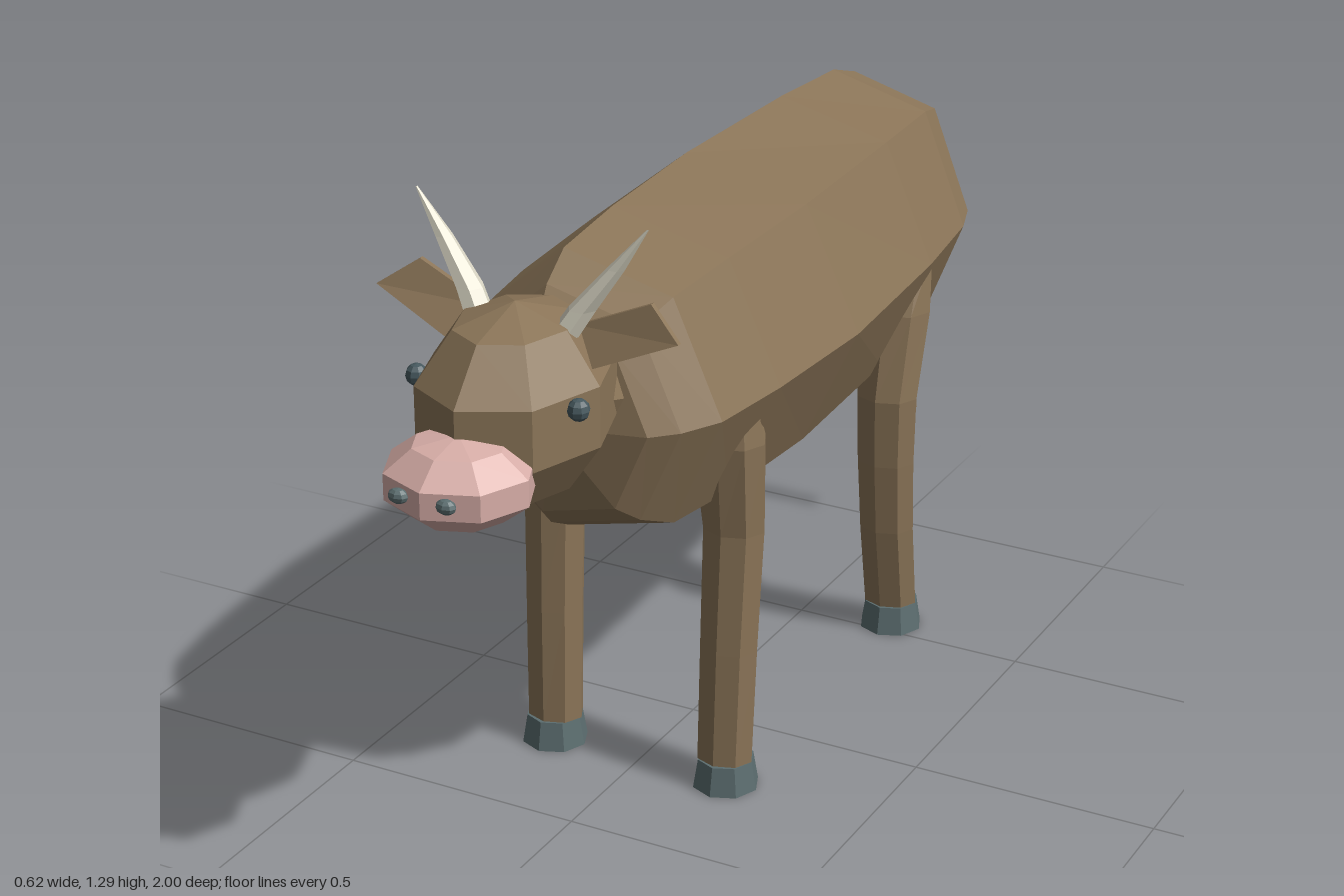
import * as THREE from 'three';

const mat = (color) => new THREE.MeshStandardMaterial({ color, flatShading: true });

// Skin through elliptical rings [x, y, z, ra, rb]; rings face 'y' (listed upward) or 'z' (listed toward +z)
function loft(rings, sides, axis) {
  const pos = [], idx = [];
  rings.forEach(([x, y, z, ra, rb = ra], i) => {
    for (let j = 0; j < sides; j++) {
      const a = (j / sides) * Math.PI * 2, c = ra * Math.cos(a), s = rb * Math.sin(a);
      if (axis === 'z') pos.push(x + c, y + s, z);
      else pos.push(x + c, y, z - s);
      if (i === 0) continue;
      const k = (j + 1) % sides, p = (i - 1) * sides, q = i * sides;
      idx.push(p + j, p + k, q + k, p + j, q + k, q + j);
    }
  });
  const g = new THREE.BufferGeometry();
  g.setAttribute('position', new THREE.Float32BufferAttribute(pos, 3));
  g.setIndex(idx);
  g.computeVertexNormals();
  return g;
}

export function createModel() {
  const root = new THREE.Group();
  root.name = 'cow';
  const hide = mat(0x8b7558), pink = mat(0xd8aea8), dark = mat(0x5c6e70), eyeMat = mat(0x46585e), ivory = mat(0xdcd8c6);

  const add = (name, geometry, material, x = 0, y = 0, z = 0) => {
    const m = new THREE.Mesh(geometry, material);
    m.name = name;
    m.position.set(x, y, z);
    root.add(m);
    return m;
  };
  const ball = (name, material, p, s, w = 8, h = 5) => {
    const m = add(name, new THREE.SphereGeometry(1, w, h), material, ...p);
    m.scale.set(...s);
    return m;
  };

  // Seven-sided barrel body: z, half width, half height
  const body = [
    [-0.925, 0, 0], [-0.87, 0.175, 0.21], [-0.82, 0.22, 0.272], [-0.73, 0.25, 0.302],
    [-0.5, 0.28, 0.312], [-0.1, 0.307, 0.315], [0.2, 0.29, 0.305], [0.39, 0.267, 0.288],
    [0.47, 0.225, 0.245], [0.515, 0.18, 0.2], [0.56, 0, 0],
  ];
  add('body', loft(body.map(([z, rx, ry]) => [0, 0.855, z, rx, ry]), 7, 'z'), hide);

  // Neck, head and muzzle
  add('neck', loft([[0, 0.9, 0.42, 0.15, 0.15], [0, 0.95, 0.62, 0.12, 0.14]], 8, 'z'), hide);
  ball('head', hide, [0, 0.953, 0.665], [0.178, 0.188, 0.222]);
  ball('muzzle', pink, [0, 0.88, 0.862], [0.146, 0.082, 0.138]);

  for (const s of [1, -1]) {
    const side = s > 0 ? 'left' : 'right';

    // Face details
    ball(side + 'Eye', eyeMat, [s * 0.165, 0.993, 0.733], [0.021, 0.021, 0.021], 8, 6);
    ball(side + 'Nostril', dark, [s * 0.048, 0.887, 0.985], [0.02, 0.014, 0.014], 8, 6);

    // Horn
    add(side + 'Horn', loft([
      [s * 0.08, 1.07, 0.645, 0], [s * 0.085, 1.085, 0.642, 0.029],
      [s * 0.115, 1.135, 0.628, 0.027], [s * 0.175, 1.215, 0.613, 0.017], [s * 0.234, 1.295, 0.606, 0.002],
    ], 6, 'y'), ivory);

    // Thin leaf-shaped ear, two skins
    const outline = [[0.09, 1.09, 0.605], [0.11, 1.02, 0.66], [0.308, 1.105, 0.635], [0.236, 1.155, 0.6]];
    const front = outline.map(([x, y, z]) => [s * x, y, z]).flat();
    const back = outline.map(([x, y, z]) => [s * x, y, z - 0.01]).flat();
    const ear = new THREE.BufferGeometry();
    ear.setAttribute('position', new THREE.Float32BufferAttribute([...front, ...back], 3));
    const faces = [0, 1, 2, 0, 2, 3, 4, 6, 5, 4, 7, 6];
    for (let i = 0; i < 4; i++) {
      const k = (i + 1) % 4;
      faces.push(i, i + 4, k + 4, i, k + 4, k);
    }
    ear.setIndex(s > 0 ? faces : faces.reverse());
    ear.computeVertexNormals();
    add(side + 'Ear', ear, hide);

    // Legs: height, z, radius across, radius along
    const legs = {
      Front: [[0.06, 0.228, 0.059, 0.05], [0.3, 0.218, 0.061, 0.053], [0.55, 0.205, 0.065, 0.055],
        [0.74, 0.218, 0.068, 0.062], [0.85, 0.225, 0.05, 0.03], [0.85, 0.225, 0]],
      Back: [[0.06, -0.54, 0.059, 0.051], [0.25, -0.506, 0.061, 0.053], [0.41, -0.488, 0.064, 0.054],
        [0.56, -0.483, 0.067, 0.058], [0.74, -0.524, 0.071, 0.067], [0.86, -0.545, 0.062, 0.03], [0.86, -0.545, 0]],
    };
    for (const [end, path] of Object.entries(legs)) {
      add(side + end + 'Leg', loft(path.map(([y, z, a, b]) => [s * (0.19 + 0.012 * y), y, z, a, b]), 8, 'y'), hide);
      add(side + end + 'Hoof', new THREE.CylinderGeometry(0.057, 0.067, 0.06, 8), dark, s * 0.193, 0.03, path[0][1]);
    }
  }

  // Hanging tail
  add('tail', loft([
    [0.028, 0.3, -0.984, 0], [0.028, 0.3, -0.984, 0.016], [0.012, 0.42, -0.975, 0.019],
    [0, 0.56, -0.952, 0.022], [-0.002, 0.7, -0.915, 0.024], [0, 0.83, -0.87, 0.024],
  ], 6, 'y'), hide);

  return root;
}
